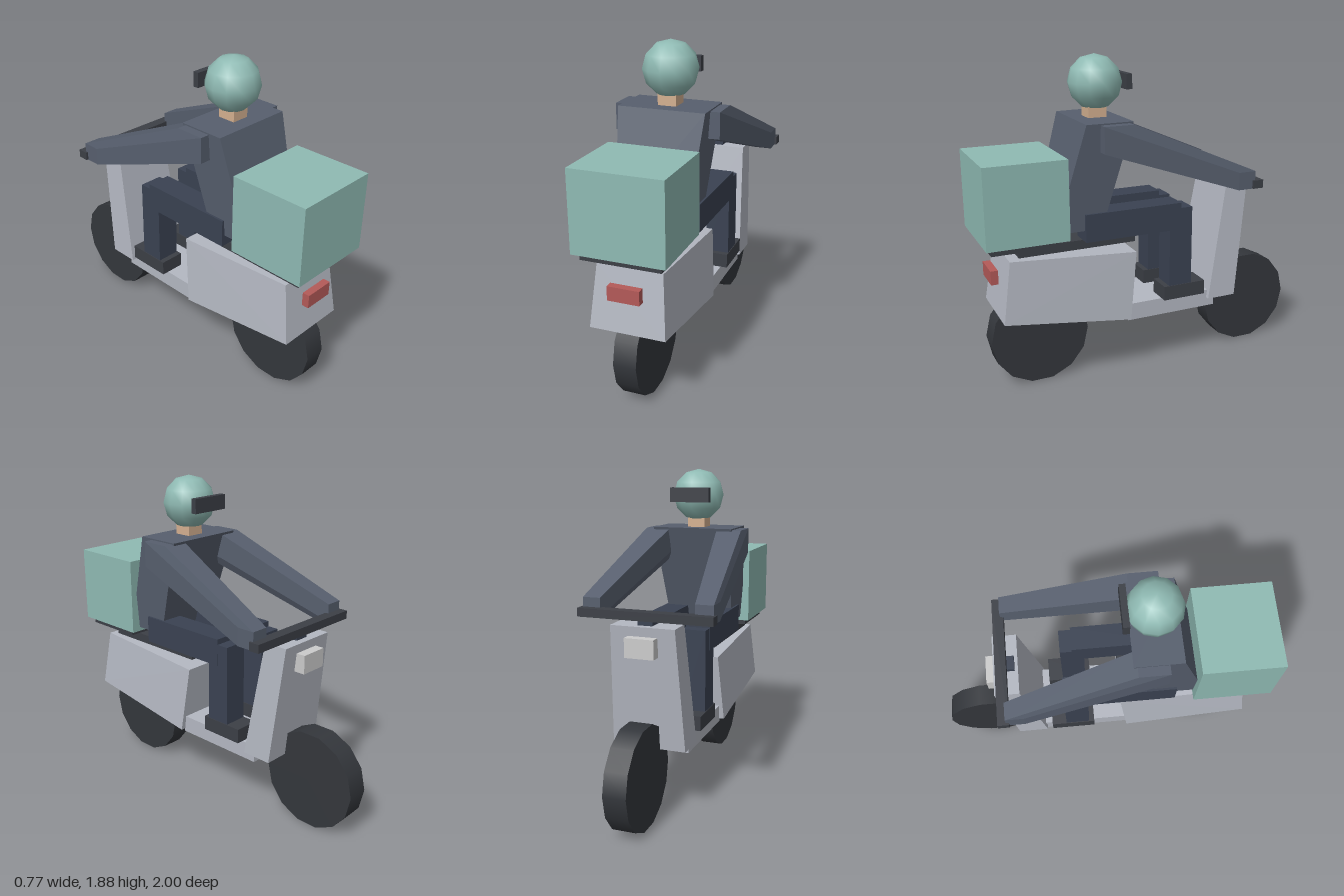
import * as THREE from 'three';
import { ConvexGeometry } from 'three/addons/geometries/ConvexGeometry.js';

const COLORS = {
  body: 0xb4b8c2, rubber: 0x34373c, dark: 0x3c3f46, teal: 0x8fbab3, red: 0xb45a58,
  jacket: 0x575f6e, trousers: 0x3a4252, skin: 0xd4b090, lamp: 0xcccccc,
};

export function createModel() {
  const model = new THREE.Group();
  const materials = {};
  for (const key in COLORS) materials[key] = new THREE.MeshStandardMaterial({ color: COLORS[key] });

  const add = (name, color, geometry) => {
    const mesh = new THREE.Mesh(geometry, materials[color]);
    mesh.name = name;
    model.add(mesh);
    return mesh;
  };

  // Box given by its extents on each axis
  const box = (name, color, [x0, x1], [y0, y1], [z0, z1]) =>
    add(name, color, new THREE.BoxGeometry(x1 - x0, y1 - y0, z1 - z0))
      .position.set((x0 + x1) / 2, (y0 + y1) / 2, (z0 + z1) / 2);

  // Symmetric solid from a side profile of [half width, y, z] points
  const slab = (name, color, profile) => {
    const points = profile.flatMap(([x, y, z]) =>
      [new THREE.Vector3(x, y, z), new THREE.Vector3(-x, y, z)]);
    add(name, color, new ConvexGeometry(points));
  };

  // The eight corners of a box, used as one end of a limb
  const corners = (xs, ys, zs) =>
    xs.flatMap((x) => ys.flatMap((y) => zs.map((z) => new THREE.Vector3(x, y, z))));

  // Wheels
  for (const [name, z] of [['rearWheel', 0.668], ['frontWheel', -0.71]]) {
    const geometry = new THREE.CylinderGeometry(0.29, 0.29, 0.13, 14).rotateZ(Math.PI / 2);
    add(name, 'rubber', geometry).position.set(0, 0.283, z);
  }

  // Scooter body
  slab('rearBody', 'body', [
    [0.186, 0.807, 0.861], [0.186, 0.754, 0.112], [0.214, 0.348, 0.16], [0.214, 0.455, 0.914],
  ]);
  slab('legShield', 'body', [
    [0.183, 1.08, -0.476], [0.183, 1.08, -0.62], [0.212, 0.385, -0.54], [0.212, 0.385, -0.358],
  ]);
  box('floorboard', 'body', [-0.184, 0.184], [0.33, 0.433], [-0.41, 0.165]);
  box('headlight', 'lamp', [-0.083, 0.083], [0.92, 1.027], [-0.668, -0.6]);
  box('tailLight', 'red', [-0.09, 0.09], [0.652, 0.733], [0.905, 0.947]);
  box('steeringStem', 'trousers', [-0.042, 0.042], [1.08, 1.107], [-0.58, -0.495]);
  box('handlebar', 'dark', [-0.385, 0.385], [1.107, 1.155], [-0.603, -0.538]);

  // Seat, rack and delivery box
  box('seat', 'dark', [-0.163, 0.163], [0.813, 0.866], [0.112, 0.804]);
  box('rack', 'dark', [-0.223, 0.223], [0.866, 0.904], [0.59, 0.968]);
  box('deliveryBox', 'teal', [-0.257, 0.257], [0.904, 1.358], [0.537, 1]);

  // Rider's torso and head
  slab('torso', 'jacket', [
    [0.247, 1.53, 0.428], [0.247, 1.53, 0.155], [0.202, 0.93, 0.33], [0.202, 0.93, 0.6],
  ]);
  box('neck', 'skin', [-0.053, 0.053], [1.52, 1.62], [0.235, 0.343]);
  add('helmet', 'teal', new THREE.SphereGeometry(0.155, 12, 6)).position.set(0, 1.722, 0.283);
  box('visor', 'dark', [-0.12, 0.12], [1.685, 1.77], [0.107, 0.142]);

  // Rider's limbs, mirrored
  for (const [side, s] of [['left', 1], ['right', -1]]) {
    const span = (a, b) => [a * s, b * s].sort((p, q) => p - q);
    add(`${side}Arm`, 'jacket', new ConvexGeometry([
      ...corners(span(0.15, 0.3), [1.374, 1.522], [0.176, 0.347]),
      ...corners(span(0.27, 0.372), [1.105, 1.208], [-0.556, -0.449]),
    ]));
    box(`${side}Thigh`, 'trousers', span(0.076, 0.222), [0.866, 1.027], [-0.158, 0.433]);
    box(`${side}Shin`, 'trousers', span(0.078, 0.22), [0.5, 0.995], [-0.23, -0.086]);
    box(`${side}Shoe`, 'dark', span(0.074, 0.224), [0.433, 0.519], [-0.32, -0.053]);
  }

  return model;
}
